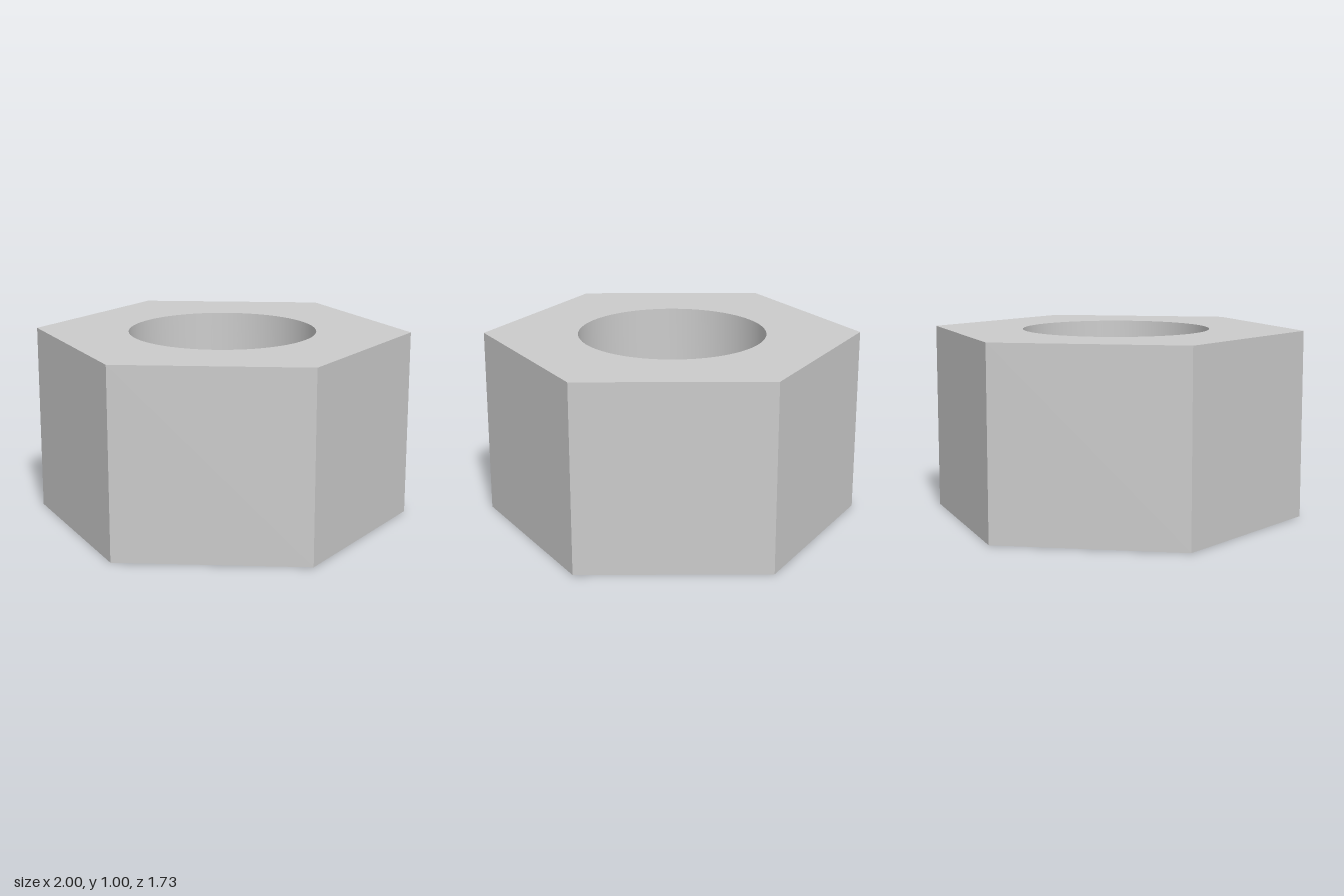
import * as THREE from 'three';
import { toCreasedNormals } from 'three/addons/utils/BufferGeometryUtils.js';

const RADIUS = 1;      // centre to hexagon corner
const BORE = 0.5;      // radius of the round hole
const HEIGHT = 1;

export function createModel() {
  const group = new THREE.Group();
  group.name = 'hexNut';

  // Hexagonal outline with corners on the x axis
  const outline = new THREE.Shape(
    Array.from({ length: 6 }, (_, i) => {
      const a = (i * Math.PI) / 3;
      return new THREE.Vector2(RADIUS * Math.cos(a), RADIUS * Math.sin(a));
    })
  );

  // Round through-hole
  const bore = new THREE.Path();
  bore.absarc(0, 0, BORE, 0, Math.PI * 2, true);
  outline.holes.push(bore);

  // Extrude upwards; the bore is smooth, the hexagon edges stay sharp
  const extruded = new THREE.ExtrudeGeometry(outline, {
    depth: HEIGHT,
    bevelEnabled: false,
    curveSegments: 32,
  });
  extruded.rotateX(-Math.PI / 2);

  const body = new THREE.Mesh(
    toCreasedNormals(extruded, Math.PI / 6),
    new THREE.MeshStandardMaterial({ color: 0xcccccc })
  );
  body.name = 'nutBody';
  group.add(body);

  return group;
}
